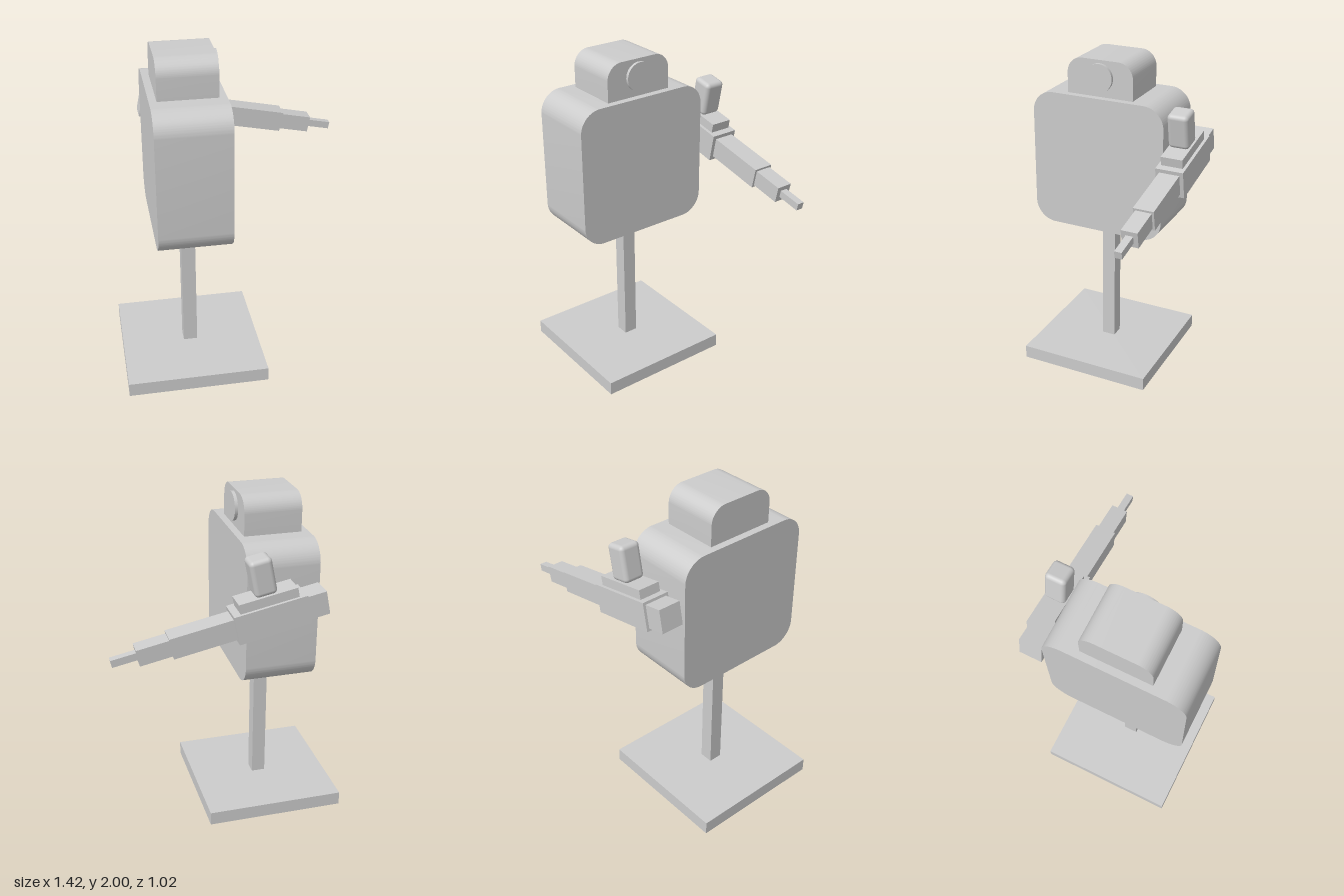
import * as THREE from 'three';
import { toCreasedNormals } from 'three/addons/utils/BufferGeometryUtils.js';
import { RoundedBoxGeometry } from 'three/addons/geometries/RoundedBoxGeometry.js';

const material = new THREE.MeshStandardMaterial({ color: 0xcccccc });

function add(parent, name, geometry, x, y, z) {
  const mesh = new THREE.Mesh(geometry, material);
  mesh.name = name;
  mesh.position.set(x, y, z);
  parent.add(mesh);
  return mesh;
}

// Slab centred on its origin, thick along x, with rounded corners in the zy plane
function roundedSlab(thick, height, width, rTop, rBottom) {
  const w = width / 2, h = height / 2;
  const s = new THREE.Shape();
  s.moveTo(-w + rBottom, -h);
  s.lineTo(w - rBottom, -h);
  if (rBottom) s.absarc(w - rBottom, -h + rBottom, rBottom, -Math.PI / 2, 0);
  s.lineTo(w, h - rTop);
  s.absarc(w - rTop, h - rTop, rTop, 0, Math.PI / 2);
  s.lineTo(-w + rTop, h);
  s.absarc(-w + rTop, h - rTop, rTop, Math.PI / 2, Math.PI);
  s.lineTo(-w, -h + rBottom);
  if (rBottom) s.absarc(-w + rBottom, -h + rBottom, rBottom, Math.PI, Math.PI * 1.5);
  const g = new THREE.ExtrudeGeometry(s, { depth: thick, bevelEnabled: false, curveSegments: 16 });
  g.translate(0, 0, -thick / 2);
  g.rotateY(Math.PI / 2);
  return toCreasedNormals(g, 0.5);
}

export function createModel() {
  const model = new THREE.Group();
  model.name = 'standingTarget';
  const cx = -0.2925, cz = 0.0845;

  // Stand
  add(model, 'base', new THREE.BoxGeometry(0.845, 0.0845, 0.845), cx, 0.0423, cz);
  add(model, 'post', new THREE.BoxGeometry(0.0845, 0.86, 0.0845), cx, 0.51, cz);

  // Torso, head and round face disc
  add(model, 'body', roundedSlab(0.423, 0.845, 0.845, 0.13, 0.13), cx, 1.358, cz);
  add(model, 'head', roundedSlab(0.338, 0.22, 0.42, 0.095, 0), cx, 1.89, cz);
  const disc = new THREE.CylinderGeometry(0.0845, 0.0845, 0.04, 40);
  disc.rotateZ(Math.PI / 2);
  add(model, 'faceDisc', disc, -0.125, 1.897, cz);

  // Side blaster, tipped downward along +x
  const blaster = new THREE.Group();
  blaster.name = 'blaster';
  blaster.position.set(-0.182, 1.43, -0.428);
  blaster.rotation.z = -0.2;
  model.add(blaster);

  // name, start and end along the barrel, thickness
  const sections = [
    ['stock', -0.323, -0.2, 0.137],
    ['receiver', -0.211, 0.211, 0.169],
    ['barrelRear', 0.2, 0.574, 0.123],
    ['barrelMiddle', 0.56, 0.76, 0.097],
    ['barrelTip', 0.75, 0.904, 0.043],
  ];
  for (const [name, a, b, t] of sections)
    add(blaster, name, new THREE.BoxGeometry(b - a, t, t), (a + b) / 2, 0, 0);

  // Mounting rail and rounded sight block on top
  add(blaster, 'rail', new THREE.BoxGeometry(0.338, 0.065, 0.132), 0, 0.107, 0);
  add(blaster, 'sight', new RoundedBoxGeometry(0.128, 0.212, 0.127, 5, 0.025), 0.005, 0.245, 0);

  return model;
}
